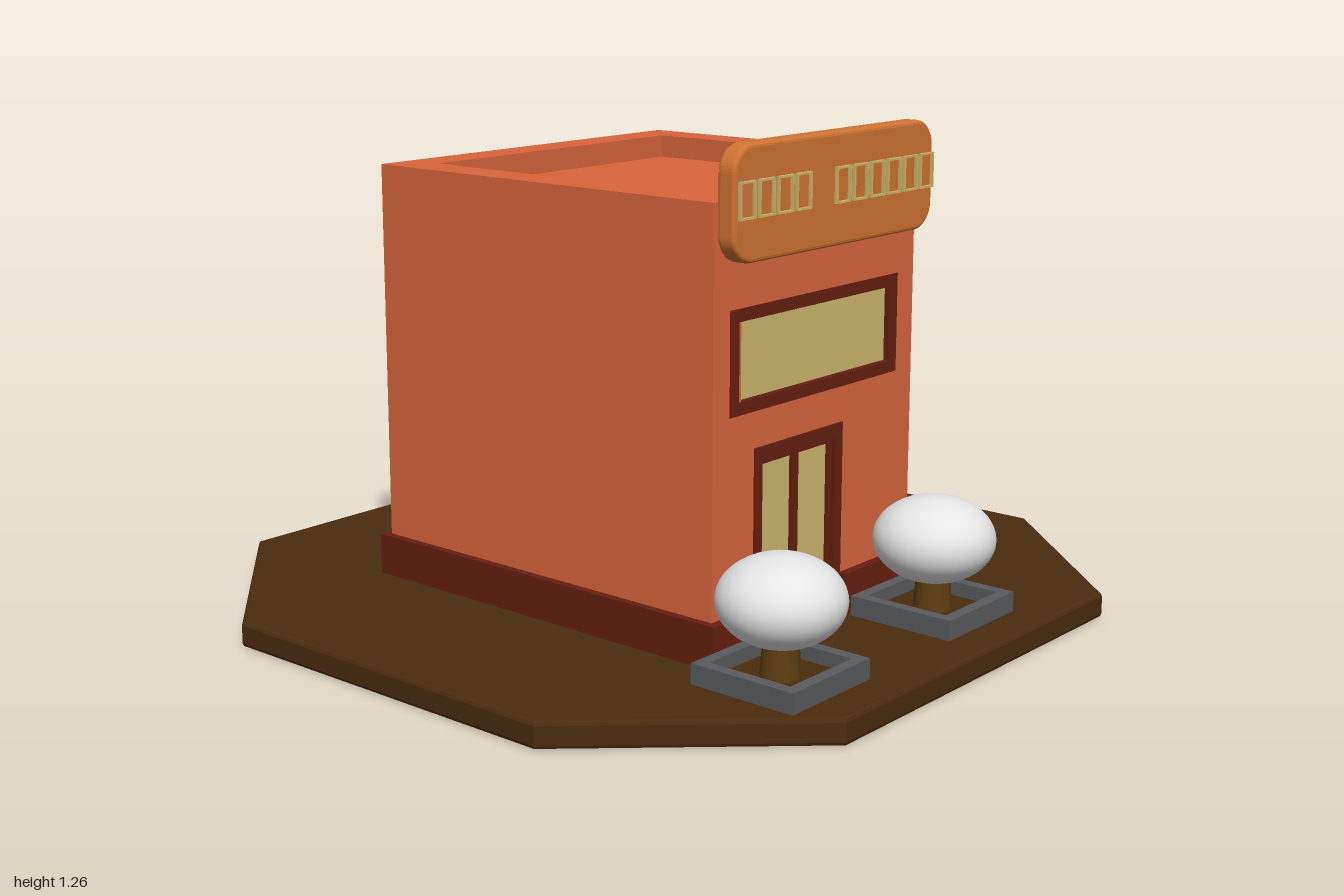
import * as THREE from 'three';

const mat = (name, color, side = THREE.FrontSide) => {
  const m = new THREE.MeshStandardMaterial({ color, side });
  m.name = name;
  return m;
};

export function createModel() {
  const M = {
    wall: mat('terracotta wall', 0xd9653d),
    trim: mat('dark red trim', 0x651f0f),
    glass: mat('warm glass', 0xd0b86e),
    sign: mat('orange sign', 0xd17432),
    ground: mat('brown ground', 0x4a2c0e),
    shutter: mat('grey shutter', 0x6a6a6a),
    planter: mat('slate planter', 0x595b5e),
    trunk: mat('trunk brown', 0x5c3e10),
    foliage: mat('pale foliage', 0xe6e6e6),
  };
  const root = new THREE.Group();
  root.name = 'cornerBuilding';

  const add = (parent, name, geo, material, x = 0, y = 0, z = 0) => {
    const mesh = new THREE.Mesh(geo, material);
    mesh.name = name;
    mesh.position.set(x, y, z);
    parent.add(mesh);
    return mesh;
  };
  const group = (parent, name, x = 0, y = 0, z = 0, ry = 0) => {
    const g = new THREE.Group();
    g.name = name;
    g.position.set(x, y, z);
    g.rotation.y = ry;
    parent.add(g);
    return g;
  };
  const box = (w, h, d) => new THREE.BoxGeometry(w, h, d);
  // Corner points of a rectangle centred on x, y
  const rect = (x, y, w, h) => [[-1, -1], [1, -1], [1, 1], [-1, 1]]
    .map(([a, b]) => new THREE.Vector2(x + a * w / 2, y + b * h / 2));
  // Upright slab with rectangular holes, front face at z = 0
  const slab = (outer, holes, depth) => {
    const s = new THREE.Shape(outer);
    s.holes = holes.map(h => new THREE.Path(h));
    return new THREE.ExtrudeGeometry(s, { depth, bevelEnabled: false }).translate(0, 0, -depth);
  };
  // Vertical prism from [x, z] plan points
  const prism = (pts, y0, y1, bevel = 0) => {
    const s = new THREE.Shape(pts.map(([x, z]) => new THREE.Vector2(x, -z)));
    return new THREE.ExtrudeGeometry(s, {
      depth: y1 - y0 - 2 * bevel, bevelEnabled: bevel > 0, bevelThickness: bevel,
      bevelSize: bevel, bevelOffset: -bevel, bevelSegments: 2,
    }).rotateX(-Math.PI / 2).translate(0, y0 + bevel, 0);
  };

  // Octagonal ground
  add(root, 'ground', prism([[-0.55, 0.985], [0.55, 0.985], [1, 0.49], [1, -0.49],
    [0.55, -0.985], [-0.55, -0.985], [-1, -0.49], [-1, 0.49]], 0, 0.065, 0.01), M.ground);

  // Core whose top is the sunken roof
  add(root, 'roof', prism([[-0.4, 0.47], [0.24, 0.47], [0.46, 0.25], [0.46, -0.4], [-0.4, -0.4]],
    0.06, 1.07), M.wall);

  // Framed window set into a wall opening
  const addWindow = (parent, { x, y, w, h, border }) => {
    const g = group(parent, 'window', x, y, 0);
    const iw = w - 2 * border, ih = h - 2 * border;
    add(g, 'windowFrame', slab(rect(0, 0, w, h), [rect(0, 0, iw, ih)], 0.05), M.trim, 0, 0, 0.003);
    add(g, 'windowGlass', box(iw, ih, 0.009), M.glass, 0, 0, -0.018);
  };

  // Walls, each with its own openings; local +z faces outward
  const win = (x, y, w, h, border) => ({ x, y, w, h, border });
  const door = { x: -0.07, y: 0.307, w: 0.34, h: 0.485 };
  const walls = [
    { name: 'frontWall', at: [-0.11, 0.57], ry: 0, w: 0.78, windows: [win(-0.005, 0.76, 0.65, 0.245, 0.03)], door },
    { name: 'cornerWall', at: [0.42, 0.43], ry: Math.PI / 4, w: 0.396,
      windows: [0.3, 0.605, 0.91].map(y => win(0, y, 0.205, 0.225, 0.015)) },
    { name: 'leftWall', at: [0.56, -0.105], ry: Math.PI / 2, w: 0.79, windows: [win(-0.005, 0.76, 0.68, 0.245, 0.035)] },
    { name: 'backWall', at: [0.03, -0.5], ry: Math.PI, w: 1.06, windows: [] },
    { name: 'rightWall', at: [-0.5, 0.035], ry: -Math.PI / 2, w: 1.07, windows: [] },
  ];
  const wallGroups = {};
  for (const d of walls) {
    const g = group(root, d.name, d.at[0], 0, d.at[1], d.ry);
    wallGroups[d.name] = g;
    const holes = [...d.windows, ...(d.door ? [d.door] : [])].map(o => rect(o.x, o.y, o.w, o.h));
    add(g, d.name + 'Panel', slab(rect(0, 0.595, d.w, 1.07), holes, 0.1), M.wall);
    d.windows.forEach(o => addWindow(g, o));
  }

  // Double entrance door
  const entrance = group(wallGroups.frontWall, 'entrance', door.x, 0, 0);
  add(entrance, 'doorFrame', slab(rect(0, door.y, door.w, door.h), [rect(0, 0.292, 0.285, 0.45)], 0.06),
    M.trim, 0, 0, 0.004);
  for (const s of [-1, 1]) {
    const leaf = group(entrance, 'doorLeaf', s * 0.0715, 0.292, -0.01);
    add(leaf, 'leafFrame', slab(rect(0, 0, 0.143, 0.45), [rect(0, 0, 0.117, 0.42)], 0.04), M.trim);
    add(leaf, 'leafGlass', box(0.117, 0.42, 0.009), M.glass, 0, 0, -0.012);
  }

  // Roller door of slanted slats
  const shutter = group(wallGroups.leftWall, 'garageDoor', -0.005, 0, 0);
  for (let i = 0; i < 5; i++) {
    const slat = new THREE.Shape([[0, 0], [0.018, 0], [0.003, 0.097], [0, 0.097]]
      .map(([a, b]) => new THREE.Vector2(a, b)));
    const geo = new THREE.ExtrudeGeometry(slat, { depth: 0.58, bevelEnabled: false })
      .translate(0, 0, -0.29).rotateY(-Math.PI / 2);
    add(shutter, 'garageSlat', geo, M.shutter, 0, 0.064 + i * 0.097, 0);
  }

  // Plinth, broken at the entrance and the garage
  add(root, 'cornerPlinth', prism([[-0.01, 0.593], [0.29, 0.593], [0.587, 0.3], [0.587, 0.185],
    [0.5, 0.185], [0.5, 0.25], [0.25, 0.5], [-0.01, 0.5]], 0.06, 0.17), M.trim);
  add(root, 'rearPlinth', prism([[0.587, -0.39], [0.587, -0.52], [-0.52, -0.52], [-0.52, 0.593],
    [-0.35, 0.593], [-0.35, 0.5], [-0.45, 0.5], [-0.45, -0.45], [0.5, -0.45], [0.5, -0.39]], 0.06, 0.17), M.trim);

  // Rounded sign board
  const sign = group(root, 'sign', -0.105, 1.125, 0.57);
  const r = 0.065, hw = 0.385, hh = 0.133;
  const board = new THREE.Shape();
  board.absarc(hw - r, hh - r, r, 0, Math.PI / 2);
  board.absarc(-hw + r, hh - r, r, Math.PI / 2, Math.PI);
  board.absarc(-hw + r, -hh + r, r, Math.PI, Math.PI * 1.5);
  board.absarc(hw - r, -hh + r, r, Math.PI * 1.5, Math.PI * 2);
  add(sign, 'signBoard', new THREE.ExtrudeGeometry(board, { depth: 0.03, bevelThickness: 0.01,
    bevelSize: 0.01, bevelOffset: -0.01, bevelSegments: 3, curveSegments: 8 }), M.sign, 0, 0, 0.01);
  // Plain rectangular outlines on the board
  const outline = slab(rect(0, 0, 0.056, 0.085), [rect(0, 0, 0.046, 0.075)], 0.009);
  for (const [start, count] of [[-0.345, 4], [0.01, 6]]) {
    for (let i = 0; i < count; i++) add(sign, 'signOutline', outline, M.glass, start + i * 0.068, 0.01, 0.058);
  }

  // Square planters with a trunk and a round crown
  const plant = (name, x, z, size, height, trunk, crown) => {
    const g = group(root, name, x, 0.06, z);
    const rim = slab(rect(0, 0, size, size), [rect(0, 0, size - 0.06, size - 0.06)], height)
      .rotateX(-Math.PI / 2).translate(0, height, 0);
    add(g, 'planterRim', rim, M.planter);
    add(g, 'planterSoil', box(size - 0.06, 0.02, size - 0.06), M.ground, 0, 0.01, 0);
    add(g, 'trunk', new THREE.CylinderGeometry(trunk.top, trunk.bottom, trunk.h, 12), M.trunk, 0, trunk.h / 2, 0);
    add(g, 'crown', new THREE.SphereGeometry(1, 40, 24).scale(crown.r, crown.ry, crown.r), M.foliage, 0, crown.y, 0);
  };
  for (const x of [-0.47, 0.14]) {
    plant('bush', x, 0.745, 0.285, 0.055, { top: 0.04, bottom: 0.05, h: 0.12 }, { r: 0.15, ry: 0.106, y: 0.197 });
  }
  plant('tree', 0.785, -0.43, 0.225, 0.043, { top: 0.025, bottom: 0.036, h: 0.31 }, { r: 0.211, ry: 0.211, y: 0.476 });

  return root;
}
